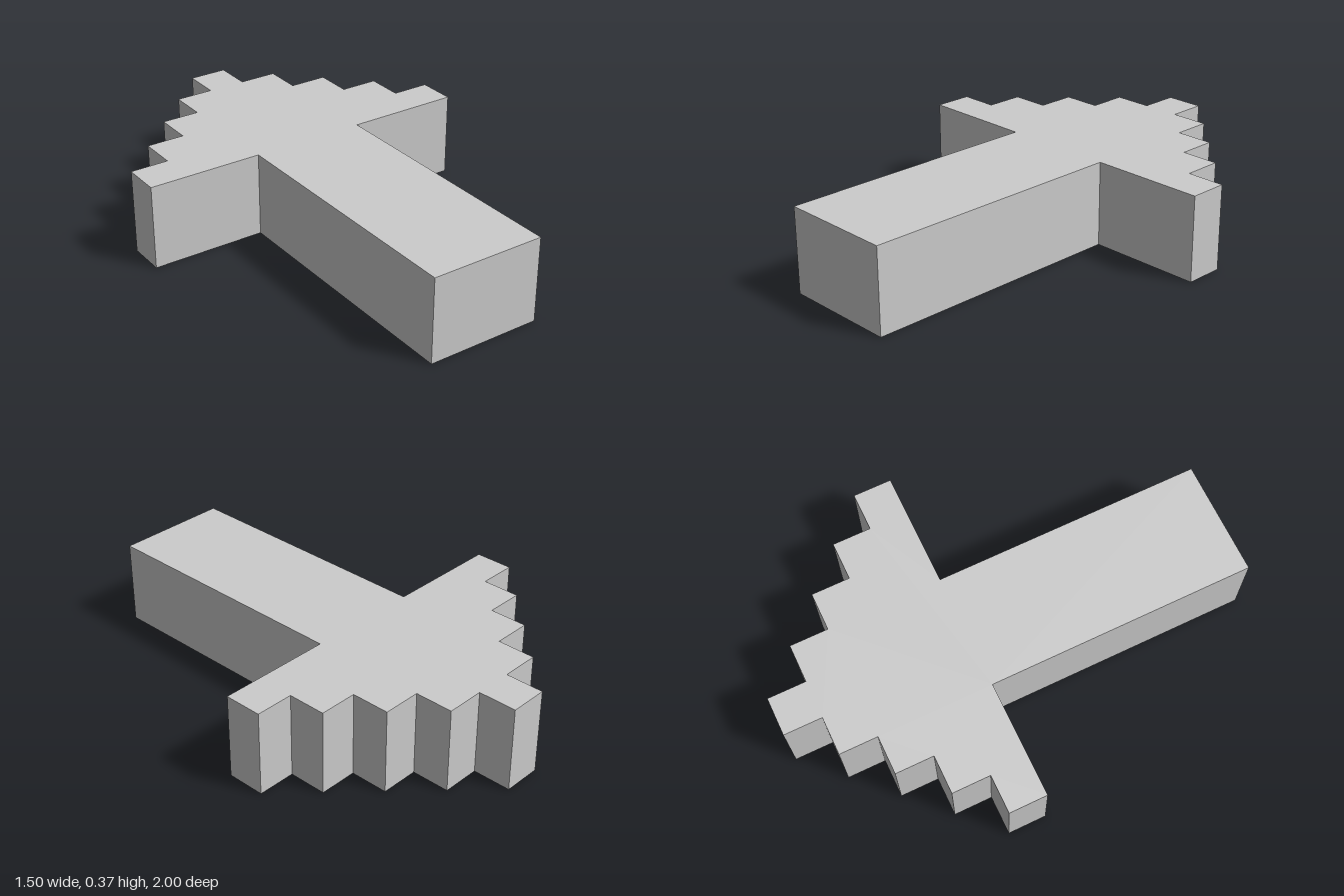
import * as THREE from 'three';

const STEP = 1 / 6;    // size of one stair of the arrowhead
const HEIGHT = 0.37;
const ROWS = 5;

export function createModel() {
  const group = new THREE.Group();
  group.name = 'steppedArrow';

  // Left half of the outline (x, forward): shaft, then the stairs up to the tip
  const half = [[0.25, -1], [0.25, STEP]];
  for (let i = 0; i < ROWS; i++) {
    const x = 0.75 - i * STEP;
    half.push([x, (i + 1) * STEP], [x, (i + 2) * STEP]);
  }

  // Mirror the half to close the outline
  const outline = [...half, ...half.map(([x, y]) => [-x, y]).reverse()];
  const shape = new THREE.Shape(outline.map(([x, y]) => new THREE.Vector2(x, y)));

  // Extrude upwards, with the tip pointing to the back
  const geometry = new THREE.ExtrudeGeometry(shape, { depth: HEIGHT, bevelEnabled: false });
  geometry.rotateX(-Math.PI / 2);

  const arrow = new THREE.Mesh(
    geometry,
    new THREE.MeshStandardMaterial({ color: 0xcccccc, flatShading: true })
  );
  arrow.name = 'arrowBody';
  group.add(arrow);
  return group;
}
